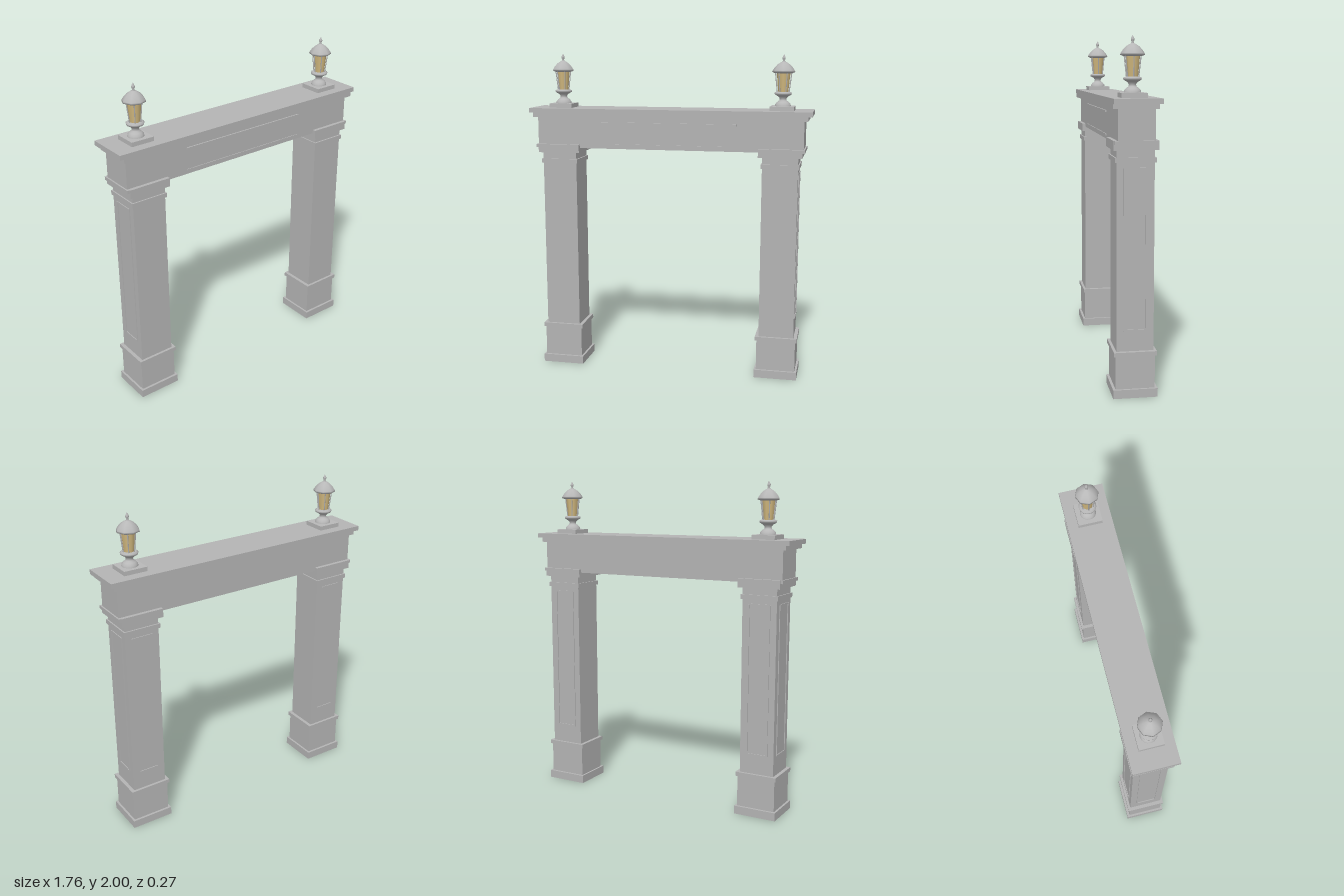
import * as THREE from 'three';

const stone = new THREE.MeshStandardMaterial({ color: 0xb4b4b4 });
stone.name = 'grey stone';
const metal = new THREE.MeshStandardMaterial({ color: 0xb8b8b8 });
metal.name = 'lamp metal';
const glass = new THREE.MeshStandardMaterial({ color: 0xd2b97f });
glass.name = 'amber glass';

function add(parent, name, geometry, material) {
  const mesh = new THREE.Mesh(geometry, material);
  mesh.name = name;
  parent.add(mesh);
  return mesh;
}

// Box given by its x, y and z ranges
function slab(parent, name, x0, x1, y0, y1, z0, z1, material = stone) {
  const m = add(parent, name, new THREE.BoxGeometry(x1 - x0, y1 - y0, z1 - z0), material);
  m.position.set((x0 + x1) / 2, (y0 + y1) / 2, (z0 + z1) / 2);
  return m;
}

// Thin raised rectangular moulding, facing +z
function panelFrame(w, h) {
  const g = new THREE.Group();
  g.name = 'panelMoulding';
  const t = 0.008, d = 0.005;
  for (const s of [-1, 1]) {
    slab(g, 'upright', s * w / 2 - t / 2, s * w / 2 + t / 2, -h / 2, h / 2, -d, d);
    slab(g, 'rail', -w / 2, w / 2, s * h / 2 - t / 2, s * h / 2 + t / 2, -d, d);
  }
  return g;
}

function pillar(side) {
  const g = new THREE.Group();
  g.name = 'pillar';
  // name, half width, half depth, bottom, top
  const courses = [
    ['plinth', 0.133, 0.126, 0, 0.05],
    ['baseBlock', 0.12, 0.111, 0.05, 0.24],
    ['baseMoulding', 0.13, 0.121, 0.24, 0.265],
    ['shaft', 0.108, 0.105, 0.265, 1.39],
    ['neckBand', 0.116, 0.114, 1.32, 1.347],
    ['capital', 0.132, 0.125, 1.388, 1.44],
  ];
  for (const [name, w, d, y0, y1] of courses) slab(g, name, -w, w, y0, y1, -d, d);

  // Mouldings on the outer and back faces
  const outer = panelFrame(0.125, 0.905);
  outer.position.set(side * 0.108, 0.838, 0.002);
  outer.rotation.y = side * Math.PI / 2;
  const back = panelFrame(0.13, 0.905);
  back.position.set(0, 0.838, -0.105);
  back.rotation.y = Math.PI;
  g.add(outer, back);
  return g;
}

function lathe(points, sides) {
  return new THREE.LatheGeometry(points.map(([r, y]) => new THREE.Vector2(r, y)), sides);
}

function lantern() {
  const g = new THREE.Group();
  g.name = 'lantern';
  slab(g, 'lanternFoot', -0.072, 0.072, 0, 0.026, -0.072, 0.072, metal);
  add(g, 'pedestal', lathe([[0.048, 0.026], [0.046, 0.038], [0.036, 0.05], [0.022, 0.06],
    [0.02, 0.072], [0.03, 0.084], [0.05, 0.095], [0.052, 0.106], [0.04, 0.112], [0, 0.112]], 16), metal);

  const core = add(g, 'lampGlass', new THREE.CylinderGeometry(0.041, 0.03, 0.118, 8), glass);
  core.position.y = 0.168;

  // Slanted bars of the cage
  for (let i = 0; i < 6; i++) {
    const a = i * Math.PI / 3 + Math.PI / 6;
    const low = new THREE.Vector3(Math.sin(a) * 0.035, 0.108, Math.cos(a) * 0.035);
    const high = new THREE.Vector3(Math.sin(a) * 0.049, 0.229, Math.cos(a) * 0.049);
    add(g, 'cageBar', new THREE.TubeGeometry(new THREE.LineCurve3(low, high), 1, 0.0035, 5), metal);
  }

  // Eight-sided domed roof and finial
  add(g, 'roof', lathe([[0, 0.222], [0.052, 0.222], [0.069, 0.229], [0.066, 0.238], [0.054, 0.256],
    [0.038, 0.273], [0.02, 0.285], [0.009, 0.29]], 8), metal);
  add(g, 'finial', lathe([[0.009, 0.288], [0.006, 0.298], [0.01, 0.308], [0.01, 0.314],
    [0.005, 0.325], [0, 0.335]], 10), metal);
  return g;
}

export function createModel() {
  const model = new THREE.Group();
  model.name = 'gateway';

  // Beam and stepped cornice
  slab(model, 'beam', -0.83, 0.83, 1.418, 1.61, -0.103, 0.103);
  slab(model, 'lowerCornice', -0.853, 0.853, 1.61, 1.637, -0.12, 0.131);
  slab(model, 'upperCornice', -0.878, 0.878, 1.637, 1.665, -0.135, 0.132);

  // Front strips of the beam
  slab(model, 'upperStrip', -0.425, 0.425, 1.572, 1.583, 0.1, 0.112);
  slab(model, 'lowerStrip', -0.425, 0.425, 1.437, 1.448, 0.1, 0.108);

  for (const side of [-1, 1]) {
    const p = pillar(side);
    p.position.x = side * 0.692;
    const l = lantern();
    l.position.set(side * 0.692, 1.665, 0);
    model.add(p, l);
    const trim = slab(model, 'endTrim', -0.01, 0.01, 1.42, 1.44, -0.12, 0.12);
    trim.position.x = side * 0.829;
  }
  return model;
}
